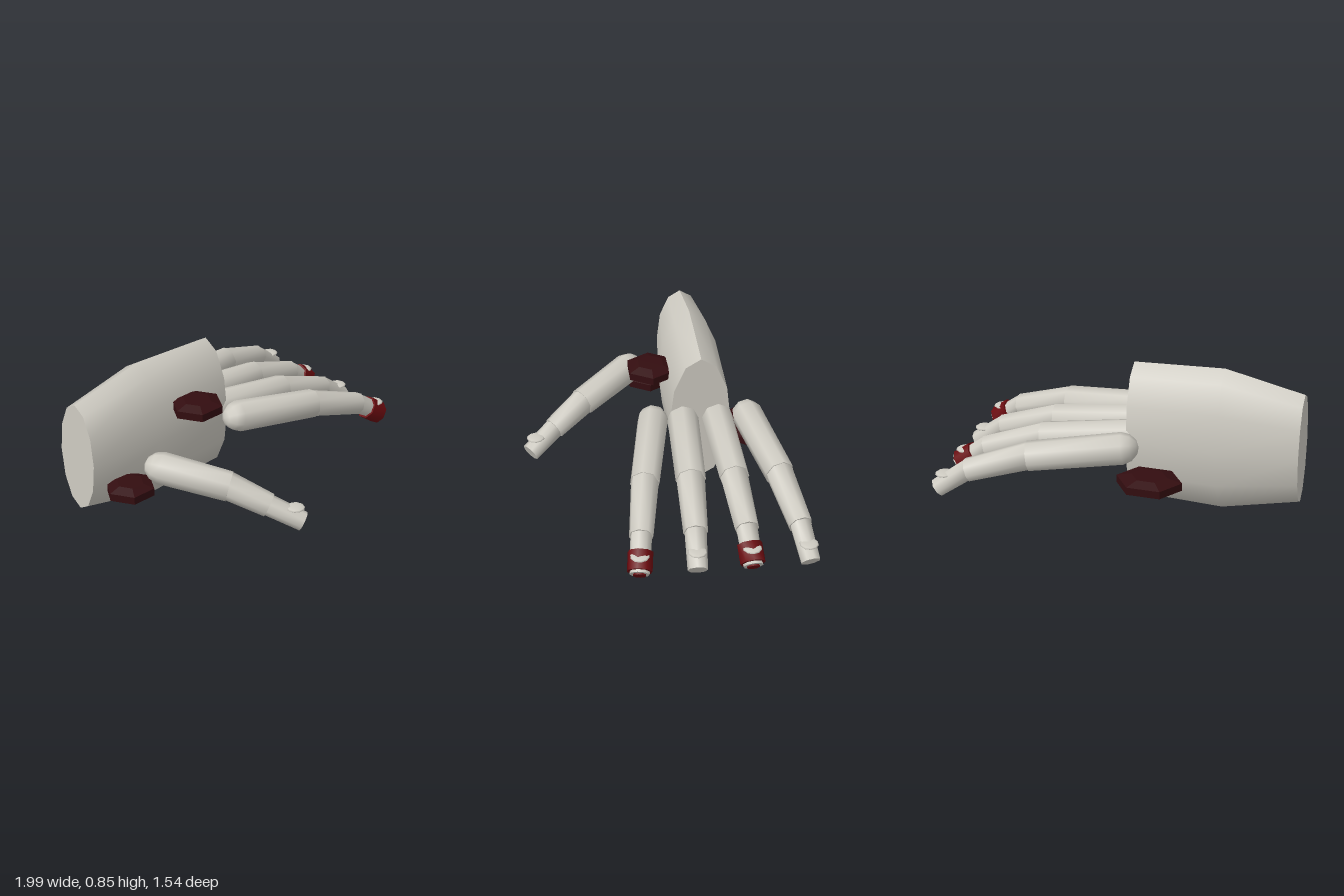
import * as THREE from 'three';
import { toCreasedNormals } from 'three/addons/utils/BufferGeometryUtils.js';

const shell = new THREE.MeshStandardMaterial({ color: 0xcecbc2 });
shell.name = 'pale shell';
const darkRed = new THREE.MeshStandardMaterial({ color: 0x330d10 });
darkRed.name = 'dark red';
const red = new THREE.MeshStandardMaterial({ color: 0x6b0b0f });
red.name = 'red';

const V = (x, y, z) => new THREE.Vector3(x, y, z);
const UP = V(0, 1, 0);
const MID_Z = -0.255; // symmetry plane of the palm and the four fingers

// Faceted solid of revolution about y from [radius, height] pairs, bottom to top
function lathe(points, sides, crease = 0.9) {
  const g = new THREE.LatheGeometry(points.map(([r, h]) => new THREE.Vector2(r, h)), sides);
  return toCreasedNormals(g, crease);
}

function add(parent, name, geometry, material) {
  const mesh = new THREE.Mesh(geometry, material);
  mesh.name = name;
  parent.add(mesh);
  return mesh;
}

// Tapered eight-sided tube from a to b, optionally with a domed start
function segment(parent, name, a, b, r0, r1, material = shell, dome = false) {
  const dir = b.clone().sub(a);
  const len = dir.length();
  const start = dome
    ? [[0, -r0], [r0 * 0.45, -r0 * 0.88], [r0 * 0.82, -r0 * 0.52], [r0, 0]]
    : [[0, -0.015], [r0, -0.015]];
  const mesh = add(parent, name, lathe([...start, [r1, len], [0, len]], 8), material);
  mesh.position.copy(a);
  mesh.quaternion.setFromUnitVectors(UP, dir.normalize());
  return mesh;
}

// Three segments and a flat nail, with an optional red sleeve at the tip
function digit(name, joints, nailHeight, sleeve) {
  const group = new THREE.Group();
  group.name = name;
  const [a, b, c, d] = joints;
  segment(group, 'baseSegment', a, b, 0.09, 0.084, shell, true);
  segment(group, 'middleSegment', b, c, 0.079, 0.067);
  segment(group, 'tipSegment', c, d, 0.06, 0.055);

  const nail = add(group, 'nail', new THREE.SphereGeometry(1, 10, 6), shell);
  nail.scale.set(0.053, 0.011, 0.053);
  nail.position.lerpVectors(c, d, 0.76).setY(nailHeight);

  if (sleeve) {
    const at = (t) => c.clone().lerp(d, t);
    segment(group, 'sleeve', at(0.48), at(0.93), 0.07, 0.07, red);
    segment(group, 'tipCore', at(0.95), at(1.04), 0.036, 0.036, red);
  }
  return group;
}

export function createModel() {
  const model = new THREE.Group();
  model.name = 'hand';

  // Palm: a flattened twelve-sided barrel lying along x
  const palmShape = new THREE.LatheGeometry(
    [[0, -1], [0.325, -1], [0.425, -0.56], [0.405, -0.05], [0, -0.05]]
      .map(([r, h]) => new THREE.Vector2(r, h)), 12);
  palmShape.rotateZ(-Math.PI / 2);
  palmShape.scale(1, 1, 0.435);
  const palm = add(model, 'palm', toCreasedNormals(palmShape, 0.9), shell);
  palm.position.set(0, 0.425, MID_Z);

  // Fingers: inner and outer pair, mirrored about the middle plane
  const xy = [[-0.06, 0.433], [0.45, 0.365], [0.785, 0.26], [0.955, 0.14]];
  const outer = [0.275, 0.377, 0.434, 0.462];
  const inner = [0.1, 0.122, 0.14, 0.15];
  const finger = (name, offsets, side, sleeve) => model.add(digit(
    name, xy.map(([x, y], i) => V(x, y, MID_Z + side * offsets[i])), 0.23, sleeve));
  finger('frontOuterFinger', outer, 1, true);
  finger('frontInnerFinger', inner, 1, false);
  finger('backInnerFinger', inner, -1, true);
  finger('backOuterFinger', outer, -1, false);

  // Thumb
  model.add(digit('thumb', [
    V(-0.71, 0.395, 0.1), V(-0.48, 0.312, 0.4),
    V(-0.355, 0.22, 0.58), V(-0.24, 0.135, 0.73),
  ], 0.22, false));

  // Flat hexagonal studs set into the palm
  const studShape = lathe(
    [[0, -0.043], [0.55, -0.043], [1, -0.022], [1, 0.022], [0.55, 0.043], [0, 0.043]], 6, 0.01);
  studShape.rotateY(Math.PI / 6);
  const studs = [
    ['upperFrontStud', -0.35, 0.6, 0.0, 0.147, 0.147],
    ['lowerFrontStud', -0.818, 0.25, -0.036, 0.14, 0.14],
    ['backStud', -0.215, 0.25, -0.54, 0.185, 0.147],
  ];
  for (const [name, x, y, z, rx, rz] of studs) {
    const stud = add(model, name, toCreasedNormals(studShape.clone().scale(rx, 1, rz), 0.01), darkRed);
    stud.position.set(x, y, z);
  }

  return model;
}
